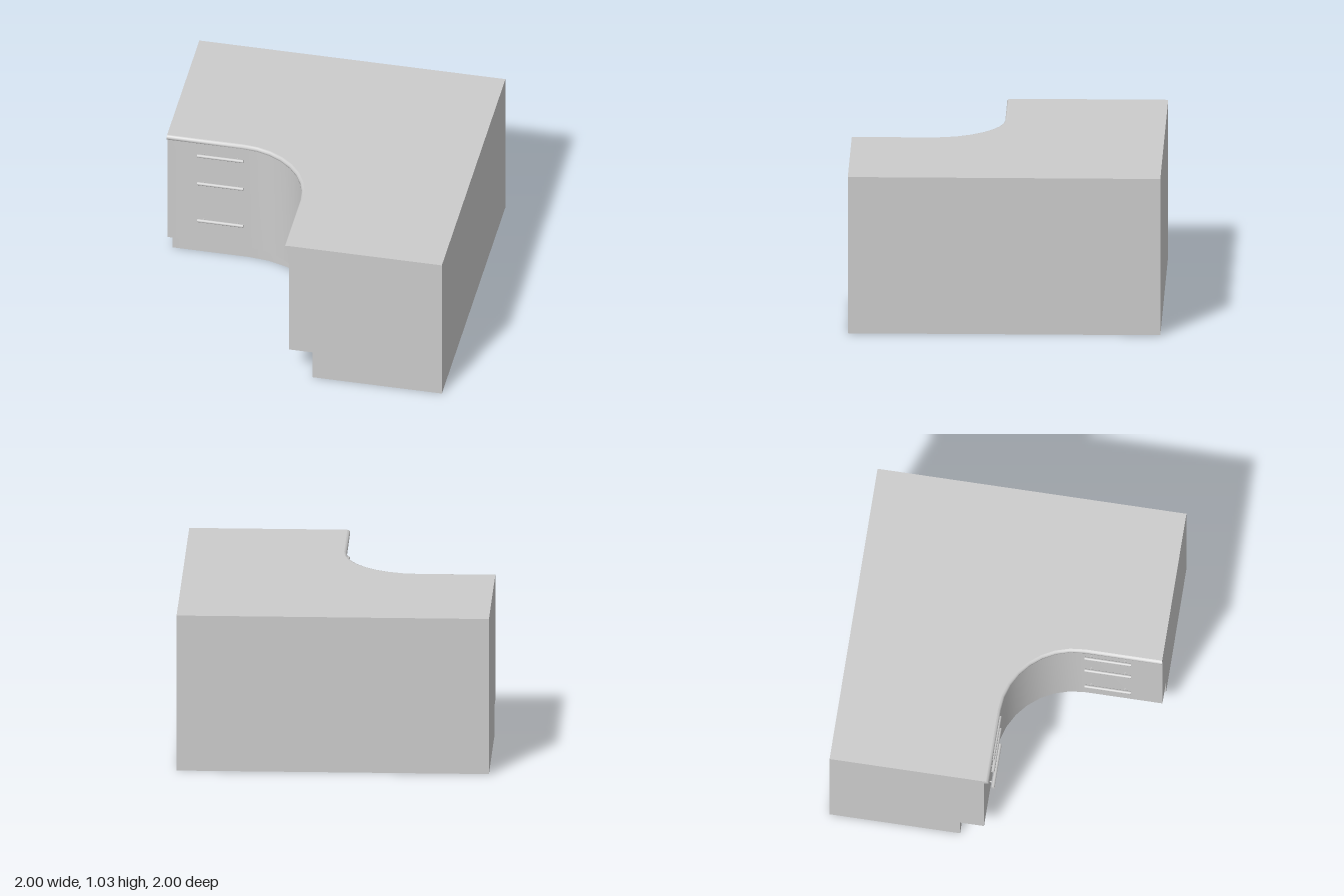
import * as THREE from 'three';

const material = new THREE.MeshStandardMaterial({ color: 0xcccccc, side: THREE.DoubleSide });
const H = 1.033;        // worktop height
const TOE = 0.2;        // toe-kick height
const SET_BACK = -0.155; // toe-kick recess
// Rounded nosing of the worktop: [overhang, height]
const NOSING = [[0, 1], [0.02, 1], [0.03, 1.008], [0.03, 1.02], [0.023, 1.03], [0.012, H]];

function addMesh(parent, name, geometry) {
  const mesh = new THREE.Mesh(geometry, material);
  mesh.name = name;
  parent.add(mesh);
  return mesh;
}

// Inner-corner front line [x, z], moved outwards by d
function frontPath(d) {
  const points = [[-1, d]];
  const r = 0.5 - d;
  for (let i = 0; i <= 8; i++) {
    const a = (i / 8) * Math.PI / 2;
    points.push([-0.5 + r * Math.sin(a), 0.5 - r * Math.cos(a)]);
  }
  points.push([-d, 1]);
  return points;
}

// Surface swept along the front line through a profile of [offset, height]
function sweep(profile) {
  const pos = [], index = [];
  const rows = profile.map(([d, y]) => frontPath(d).map(([x, z]) => [x, y, z]));
  const n = rows[0].length;
  rows.forEach((row) => row.forEach((p) => pos.push(...p)));
  for (let j = 0; j < rows.length - 1; j++) {
    for (let i = 0; i < n - 1; i++) {
      const a = j * n + i, b = a + n;
      index.push(a, a + 1, b, a + 1, b + 1, b);
    }
  }
  const geometry = new THREE.BufferGeometry();
  geometry.setAttribute('position', new THREE.Float32BufferAttribute(pos, 3));
  geometry.setIndex(index);
  geometry.computeVertexNormals();
  return geometry;
}

function flat(points) {
  return new THREE.ShapeGeometry(new THREE.Shape(points.map(([x, y]) => new THREE.Vector2(x, y))));
}

// Bar handle on two posts, standing out along +z
function makeHandle(name) {
  const handle = new THREE.Group();
  handle.name = name;
  addMesh(handle, 'handleBar', new THREE.CylinderGeometry(0.011, 0.011, 0.3, 12).rotateZ(Math.PI / 2))
    .position.z = 0.026;
  for (const x of [-0.11, 0.11]) {
    addMesh(handle, 'handlePost', new THREE.CylinderGeometry(0.005, 0.005, 0.03, 8).rotateX(Math.PI / 2))
      .position.set(x, 0, 0.011);
  }
  return handle;
}

export function createModel() {
  const model = new THREE.Group();
  model.name = 'cornerCabinet';

  // Curved front, toe-kick and the ledge between them
  addMesh(model, 'frontPanel', sweep([[0, TOE], [0, 1]]));
  addMesh(model, 'toeLedge', sweep([[SET_BACK, TOE], [0, TOE]]));
  addMesh(model, 'toeKick', sweep([[SET_BACK, 0], [SET_BACK, TOE]]));

  // Worktop with its nosing
  const outline = [...frontPath(0.012), [1, 1], [1, -1], [-1, -1]];
  addMesh(model, 'worktop', flat(outline.map(([x, z]) => [x, -z])).rotateX(-Math.PI / 2)).position.y = H;
  addMesh(model, 'worktopNosing', sweep(NOSING));

  // Back walls
  const wall = () => new THREE.PlaneGeometry(2, H);
  addMesh(model, 'backWall', wall().rotateY(Math.PI)).position.set(0, H / 2, -1);
  addMesh(model, 'sideWall', wall().rotateY(Math.PI / 2)).position.set(1, H / 2, 0);

  // Notched end panels, one on each arm
  const end = [[-1, 0], [SET_BACK, 0], [SET_BACK, TOE], [0, TOE], ...NOSING, [-1, H]];
  addMesh(model, 'rightEndPanel', flat(end).rotateY(-Math.PI / 2)).position.x = -1;
  const frontEnd = flat(end.map(([d, y]) => [-d, y]).reverse());
  addMesh(model, 'frontEndPanel', frontEnd).position.z = 1;

  // Three drawer handles on each arm
  for (const y of [0.905, 0.682, 0.384]) {
    const right = makeHandle('rightArmHandle');
    right.position.set(-0.65, y, 0);
    const front = makeHandle('frontArmHandle');
    front.position.set(0, y, 0.65);
    front.rotation.y = -Math.PI / 2;
    model.add(right, front);
  }
  return model;
}
